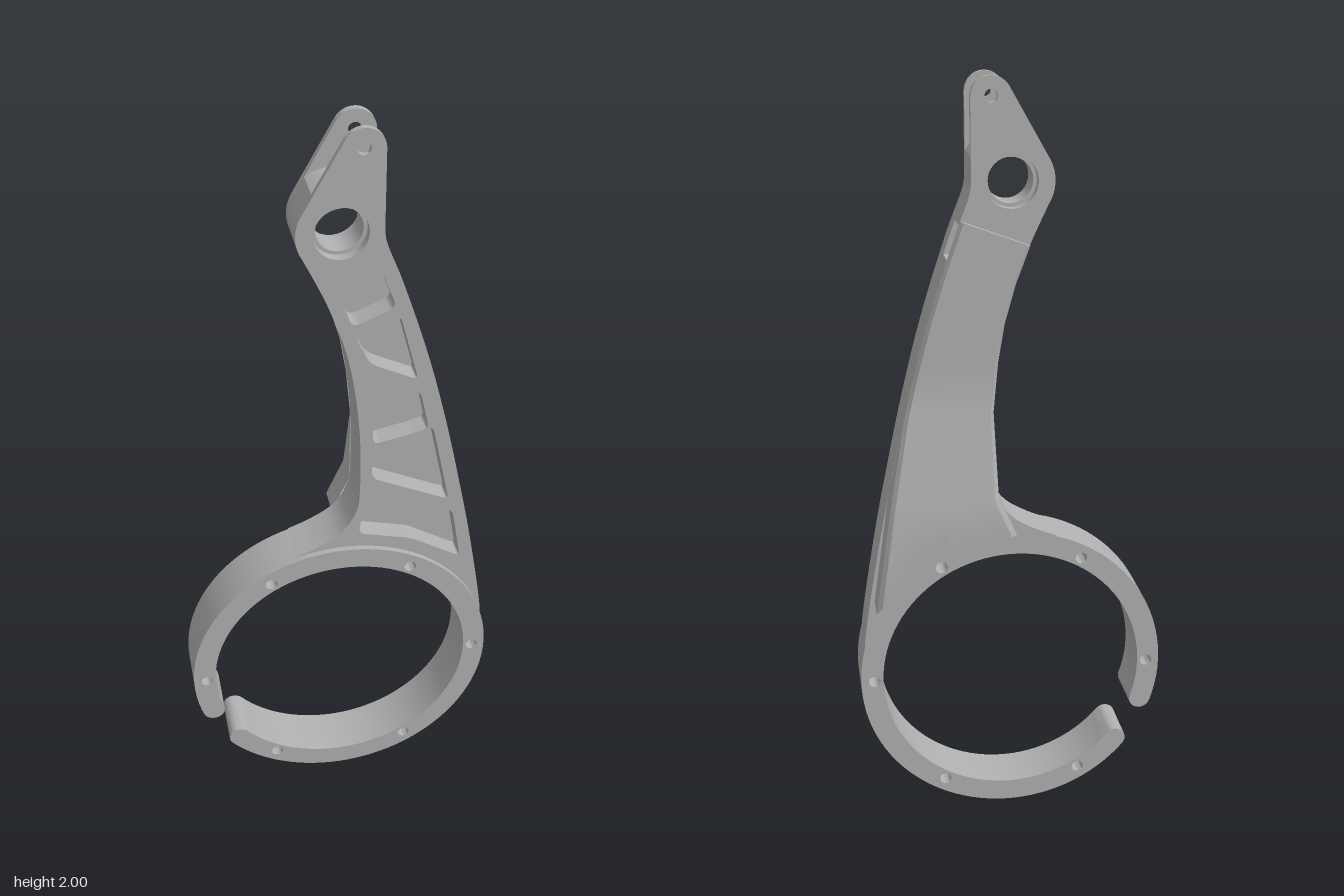
import * as THREE from 'three';
import { toCreasedNormals } from 'three/addons/utils/BufferGeometryUtils.js';

const rad = THREE.MathUtils.degToRad;
const V = (x, y) => new THREE.Vector2(x, y);
const RING_Y = 0.415, BORE_Y = 1.75;

// points on an arc, angles in degrees
const arc = (cx, cy, r, from, to, n = 16) =>
  Array.from({ length: n + 1 }, (_, i) => {
    const a = rad(from + ((to - from) * i) / n);
    return V(cx + r * Math.cos(a), cy + r * Math.sin(a));
  });
const spline = (pts, n) => new THREE.SplineCurve(pts.map(p => V(...p))).getPoints(n);
const circle = (x, y, r) => new THREE.Path(arc(x, y, r, 0, 360, 32).slice(0, -1));

// long edges of the arm
const rightEdge = spline([[0.396, 0.46], [0.396, 0.55], [0.354, 0.8], [0.313, 1.0],
  [0.268, 1.2], [0.215, 1.4], [0.15, 1.6], [0.108, 1.71], [0.1, 1.75]], 60);
const leftEdge = spline([[-0.09, 1.694], [-0.03, 1.56], [0.02, 1.4], [0.047, 1.2],
  [0.05, 1.0], [0.037, 0.93], [0, 0.875], [-0.06, 0.837], [-0.12, 0.812]], 60);

// x of an edge at a given height
function xAt(edge, y) {
  for (let i = 0; i < edge.length - 1; i++) {
    const a = edge[i], b = edge[i + 1];
    if ((a.y - y) * (b.y - y) <= 0) return a.x + ((b.x - a.x) * (y - a.y)) / (b.y - a.y);
  }
  return edge[edge.length - 1].x;
}

// polygon with rounded corners
function roundedPath(corners, r) {
  const pts = corners.map(c => V(...c)), n = pts.length, path = new THREE.Path();
  pts.forEach((p, i) => {
    const toward = q => p.clone().add(q.clone().sub(p).setLength(r));
    const a = toward(pts[(i + n - 1) % n]), b = toward(pts[(i + 1) % n]);
    if (i) path.lineTo(a.x, a.y); else path.moveTo(a.x, a.y);
    path.quadraticCurveTo(p.x, p.y, b.x, b.y);
  });
  path.closePath();
  return path;
}

const POCKETS = [
  [[-0.01, 1.603], [0.095, 1.645], [0.132, 1.545], [0.026, 1.503]],
  [[0.033, 1.475], [0.142, 1.522], [0.192, 1.333], [0.07, 1.395]],
  [[0.073, 1.362], [0.2, 1.295], [0.225, 1.18], [0.083, 1.152]],
  [[0.083, 1.14], [0.235, 1.188], [0.287, 0.945], [0.08, 1.045]],
  [[0.072, 1.015], [0.3, 0.905], [0.328, 0.742], [0.19, 0.828], [0.048, 0.866]],
];

// one slice of the arm: with or without fork cheek, side slot and pockets
function armShape({ cheek, slot, pockets }) {
  let right = rightEdge;
  if (slot) {
    const lo = 1.565, hi = 1.65;
    right = [...right.filter(p => p.y < lo),
      V(xAt(rightEdge, lo), lo), V(0.125, lo), V(0.1, hi), V(xAt(rightEdge, hi), hi),
      ...right.filter(p => p.y > hi)];
  }
  const top = cheek ? arc(0.05, 1.95, 0.05, 0, 150) : arc(0, BORE_Y, 0.118, 32, 124);
  const shape = new THREE.Shape([...right, ...top,
    ...arc(0, BORE_Y, 0.106, 150, 211), ...leftEdge,
    ...arc(0, RING_Y, 0.395, 107, 8, 32)]);
  shape.holes.push(circle(0, BORE_Y, 0.065));
  if (cheek) shape.holes.push(circle(0.05, 1.953, 0.016));
  if (pockets) POCKETS.forEach(p => shape.holes.push(roundedPath(p, 0.02)));
  return shape;
}

// open C-shaped ring with round ends and screw holes
function ringShape() {
  const s = 219.7, e = 558.3, mid = 0.382, r = 0.03;
  const end = a => [mid * Math.cos(rad(a)), RING_Y + mid * Math.sin(rad(a))];
  const shape = new THREE.Shape([
    ...arc(0, RING_Y, mid + r, s, e, 96), ...arc(...end(e), r, e, e + 180, 12).slice(1, -1),
    ...arc(0, RING_Y, mid - r, e, s, 96), ...arc(...end(s), r, s + 180, s + 360, 12).slice(1, -1)]);
  for (let i = 0; i < 6; i++) {
    const a = rad(i * 60);
    shape.holes.push(circle(0.376 * Math.cos(a), RING_Y + 0.376 * Math.sin(a), 0.016));
  }
  return shape;
}

// back cover: rows from top to bottom, each running across the arm
function coverGeometry() {
  const base = -0.025, cols = 40, bevel = 0.01;
  const rows = [[1.595, 1.66, base], [1.595, 1.66, -0.041], [1.5, 1.54, -0.041],
    [1.4, 1.42, -0.041], [1.3, 1.3, -0.041], [1.17, 1.17, -0.041], [0.96, 0.95, -0.112],
    [0, 0, -0.112], [0, 0, base]];
  const pos = [], idx = [];
  const add = (row, t, z) => {
    const [yl, yr] = row;
    if (yl === 0) { // bottom edge follows the ring, with a cable opening
      const x = 0.368 * t, lift = x > 0.18 && x < 0.3 ? 0.035 : 0;
      pos.push(x, RING_Y + Math.sqrt(0.44 ** 2 - x * x) + lift, z);
    } else {
      const xl = xAt(leftEdge, yl), xr = xAt(rightEdge, yr);
      pos.push(xl + (xr - xl) * t, yl + (yr - yl) * t, z);
    }
  };
  rows.forEach(row => {
    const z = row[2], shoulder = Math.min(base, z + bevel);
    add(row, 0, base);
    add(row, 0, shoulder);
    for (let k = 0; k <= cols; k++) add(row, 0.04 + (0.92 * k) / cols, z);
    add(row, 1, shoulder);
    add(row, 1, base);
  });
  const w = cols + 5;
  for (let j = 0; j < rows.length - 1; j++)
    for (let k = 0; k < w - 1; k++) {
      const a = j * w + k, c = a + w;
      idx.push(a, a + 1, c, a + 1, c + 1, c);
    }
  const geo = new THREE.BufferGeometry();
  geo.setAttribute('position', new THREE.Float32BufferAttribute(pos, 3));
  geo.setIndex(idx);
  return geo;
}

export function createModel() {
  const model = new THREE.Group();
  model.name = 'ringBracket';
  const metal = new THREE.MeshStandardMaterial({ color: 0xb0b0b0, side: THREE.DoubleSide });
  metal.name = 'plain grey';

  const addPart = (name, geo, parent = model) => {
    const mesh = new THREE.Mesh(toCreasedNormals(geo, 0.45), metal);
    mesh.name = name;
    parent.add(mesh);
  };
  const slab = (shape, z0, z1) =>
    new THREE.ExtrudeGeometry(shape, { depth: z1 - z0, bevelEnabled: false, curveSegments: 6 })
      .translate(0, 0, z0);

  addPart('clampRing', slab(ringShape(), -0.025, 0.11));

  // arm built in slices from back to front
  const arm = new THREE.Group();
  arm.name = 'arm';
  model.add(arm);
  addPart('backForkPlate', slab(armShape({ cheek: true, slot: true }), -0.025, -0.007), arm);
  addPart('armCore', slab(armShape({ slot: true }), -0.007, 0.04), arm);
  addPart('pocketedWeb', slab(armShape({ pockets: true }), 0.04, 0.08), arm);
  addPart('frontForkPlate', slab(armShape({ cheek: true, pockets: true }), 0.08, 0.095), arm);

  // bushing set back inside the pivot bore
  const bushing = new THREE.Shape(arc(0, BORE_Y, 0.066, 0, 360, 32).slice(0, -1));
  bushing.holes.push(circle(0, BORE_Y, 0.056));
  addPart('pivotBushing', slab(bushing, 0, 0.07));

  addPart('backCover', coverGeometry());
  return model;
}
